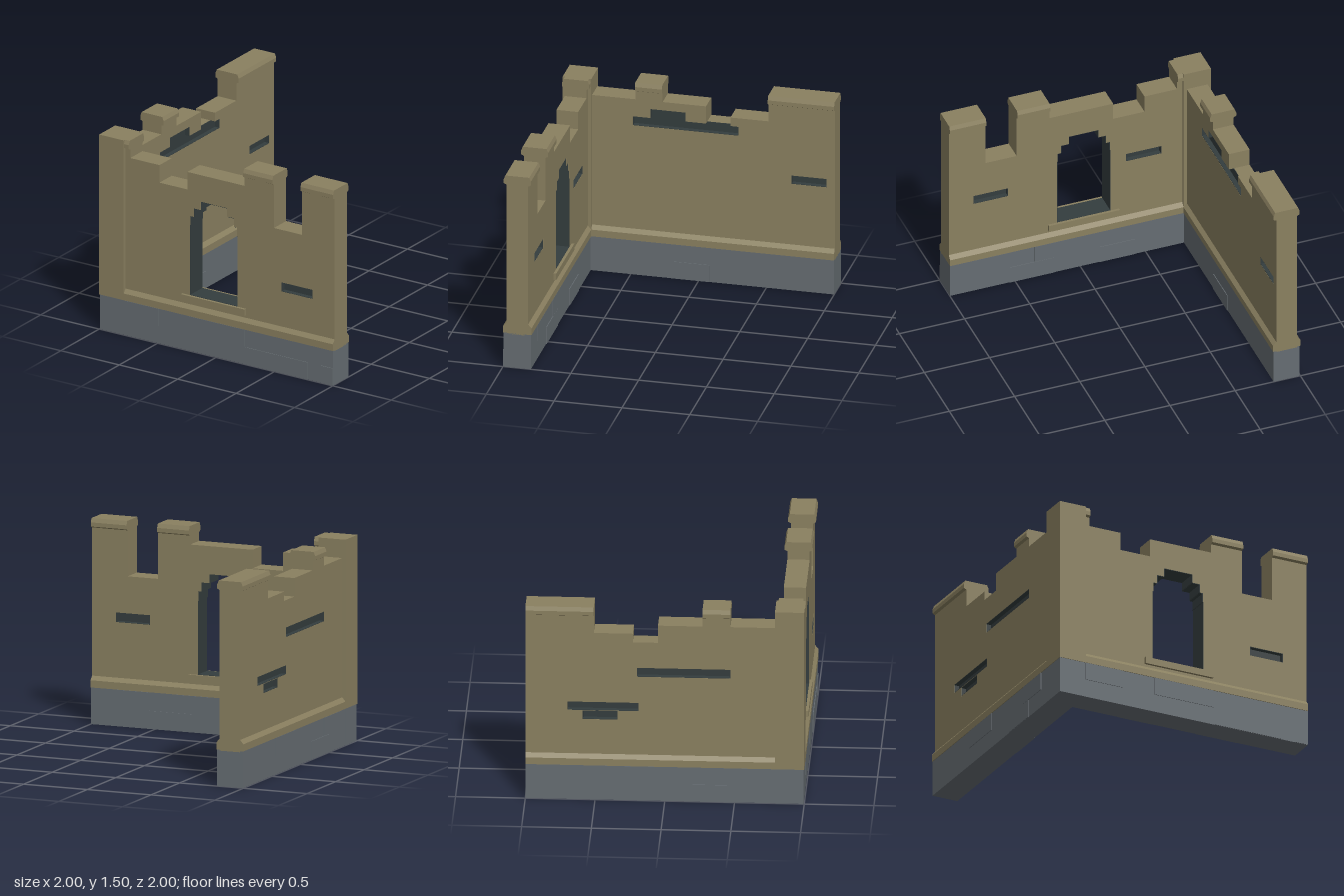
import * as THREE from 'three';

const mat = (name, color) => Object.assign(new THREE.MeshStandardMaterial({ color }), { name });

export function createModel() {
  const plaster = mat('tan plaster', 0x8a8060);
  const stone = mat('grey stone', 0x666d72);
  const dark = mat('dark brick', 0x343d3e);

  const add = (parent, name, geo, material) => {
    const m = new THREE.Mesh(geo, material);
    m.name = name;
    parent.add(m);
    return m;
  };
  // Box given by its two opposite corners
  const box = (parent, name, material, x0, x1, y0, y1, z0, z1) =>
    add(parent, name, new THREE.BoxGeometry(x1 - x0, y1 - y0, z1 - z0)
      .translate((x0 + x1) / 2, (y0 + y1) / 2, (z0 + z1) / 2), material);
  const toPoints = (pts) => pts.map(([x, y]) => new THREE.Vector2(x, y));
  const slab = (parent, name, material, pts, holes, z0, z1) => {
    const shape = new THREE.Shape(toPoints(pts));
    holes.forEach((h) => shape.holes.push(new THREE.Path(toPoints(h))));
    return add(parent, name, new THREE.ExtrudeGeometry(shape, { depth: z1 - z0, bevelEnabled: false })
      .translate(0, 0, z0), material);
  };
  // Symmetric moulding: [half width, height] points swept along the wall
  const moulding = (parent, name, material, half, u0, u1) => {
    const pts = [...half, ...half.map(([w, y]) => [-w, y]).reverse()];
    const geo = new THREE.ExtrudeGeometry(new THREE.Shape(toPoints(pts)), { depth: u1 - u0, bevelEnabled: false });
    add(parent, name, geo.rotateY(Math.PI / 2).translate(u0, 0, 0), material);
  };
  // Dark plates along the edges of an opening (counterclockwise outline)
  const lining = (parent, name, pts, z0, z1, skip = -1) => {
    const t = 0.003;
    pts.forEach(([x, y], i) => {
      if (i === skip) return;
      const [x2, y2] = pts[(i + 1) % pts.length];
      const len = Math.hypot(x2 - x, y2 - y);
      const nx = -(y2 - y) / len * t, ny = (x2 - x) / len * t;
      box(parent, name, dark, Math.min(x, x2, x + nx), Math.max(x, x2, x + nx),
        Math.min(y, y2, y + ny), Math.max(y, y2, y + ny), z0, z1);
    });
  };
  const rect = (x0, x1, y0, y1) => [[x0, y0], [x1, y0], [x1, y1], [x0, y1]];

  // One wall run: x is along the wall, +z is the outer face
  const buildWall = (o) => {
    const g = new THREE.Group();
    g.name = o.name;
    const doors = o.door ? [o.door] : [];
    slab(g, 'wallCore', plaster, o.outline, doors, -0.04, 0.04);
    slab(g, 'innerFace', plaster, o.innerOutline || o.outline, [...doors, ...o.inner], -0.08, -0.04);
    slab(g, 'outerFace', plaster, o.outline, [...doors, ...o.outer], 0.04, 0.08);
    const recess = (pts, s, skip) => {
      const [a, b] = s > 0 ? [0.04, 0.079] : [-0.079, -0.04];
      lining(g, 'missingBrickSides', pts, a, b, skip);
      slab(g, 'missingBrickBack', dark, pts, [], s > 0 ? 0.039 : -0.043, s > 0 ? 0.043 : -0.039);
    };
    o.inner.forEach((p) => recess(p, -1));
    o.outer.forEach((p) => recess(p, 1));
    if (o.openRecess) recess(o.openRecess, -1, o.openEdge);
    moulding(g, 'plinth', plaster, [[0.105, 0.268], [0.105, 0.32], [0.08, 0.35]], o.u0, o.u1);
    o.caps.forEach(([a, b]) => moulding(g, 'merlonCap', plaster,
      [[0.08, 1.43], [0.1, 1.44], [0.1, 1.47], [0.088, 1.5]], a, b));
    box(g, 'foundation', stone, o.u0, o.u1, 0, 0.268, -0.1, 0.1);
    // Raised foundation stones: [start, end, row, side]
    o.stones.forEach(([a, b, row, s]) => box(g, 'foundationStone', stone, a, b,
      row * 0.134 + 0.001, row * 0.134 + 0.133, s > 0 ? 0.09 : -0.105, s > 0 ? 0.105 : -0.09));
    return g;
  };

  const model = new THREE.Group();
  model.name = 'ruinedCornerWall';

  // Front wall with the stepped doorway
  const door = [[-0.24, 0.42], [0.17, 0.42], [0.17, 0.96], [0.165, 0.96], [0.165, 1.03], [0.14, 1.03],
    [0.14, 1.095], [0.08, 1.095], [0.08, 1.16], [-0.147, 1.16], [-0.147, 1.095], [-0.205, 1.095],
    [-0.205, 1.03], [-0.235, 1.03], [-0.235, 0.96], [-0.24, 0.96]];
  const front = buildWall({
    name: 'frontWall', u0: -0.8, u1: 1, door,
    outline: [[-0.8, 0.26], [1, 0.26], [1, 1.499], [0.72, 1.499], [0.72, 1.095], [0.48, 1.095], [0.48, 1.499],
      [0.23, 1.499], [0.23, 1.365], [-0.26, 1.365], [-0.26, 1.23], [-0.5, 1.23], [-0.5, 1.365],
      [-0.75, 1.365], [-0.75, 1.499], [-0.8, 1.499]],
    inner: [rect(0.545, 0.81, 0.755, 0.825), rect(-0.63, -0.36, 0.825, 0.89)],
    outer: [rect(0.545, 0.81, 0.62, 0.69)],
    caps: [[-0.8, -0.75], [0.23, 0.48], [0.72, 1]],
    stones: [[-0.79, -0.49, 1, 1], [-0.24, 0.24, 1, 1], [0.25, 0.78, 0, 1], [0.9, 0.999, 0, 1],
      [0.55, 0.8, 1, -1], [0.2, 0.54, 0, -1], [0.05, 0.35, 1, -1], [-0.42, -0.15, 0, -1]],
  });
  lining(front, 'doorReveal', door, -0.079, 0.079);
  box(front, 'doorSill', plaster, -0.305, 0.24, 0.37, 0.42, -0.1, 0.1);
  front.position.z = 0.895;

  // Side wall
  const under = [[-0.29, 1.16], [0.49, 1.16], [0.49, 1.23], [0.36, 1.23], [0.36, 1.3], [0.1, 1.3],
    [0.1, 1.23], [-0.05, 1.23], [-0.23, 1.23], [-0.29, 1.23]];
  const right = [[-1, 0.26], [0.8, 0.26], [0.8, 1.365], [0.47, 1.365], [0.47, 1.499], [0.27, 1.499],
    [0.27, 1.365], [-0.05, 1.365]];
  const left = [[-0.23, 1.23], [-0.23, 1.297], [-0.51, 1.297], [-0.51, 1.499], [-1, 1.499]];
  const side = buildWall({
    name: 'sideWall', u0: -1, u1: 0.8,
    outline: [...right, [-0.05, 1.23], ...left],
    // The notch breaks into the row of missing bricks
    innerOutline: [...right, [-0.05, 1.23], [0.1, 1.23], [0.1, 1.3], [0.36, 1.3], [0.36, 1.23], [0.49, 1.23],
      [0.49, 1.16], [-0.29, 1.16], [-0.29, 1.23], ...left],
    openRecess: under, openEdge: 7,
    inner: [rect(-0.94, -0.68, 0.825, 0.89)],
    outer: [rect(-0.2, 0.47, 0.96, 1.03), rect(-0.7, -0.19, 0.69, 0.755), rect(-0.59, -0.34, 0.62, 0.687)],
    caps: [[-1, -0.51], [0.27, 0.47]],
    stones: [[-0.43, -0.07, 1, 1], [0.2, 0.5, 0, 1], [0.42, 0.7, 1, 1], [-0.08, 0.2, 0, -1]],
  });
  side.rotation.y = -Math.PI / 2;
  side.position.x = -0.895;

  // Corner post
  box(model, 'cornerPost', plaster, -1, -0.79, 0.268, 1.5, 0.79, 1);
  box(model, 'cornerFoundation', stone, -0.996, -0.795, 0, 0.268, 0.795, 0.996);

  model.add(front, side);
  return model;
}
